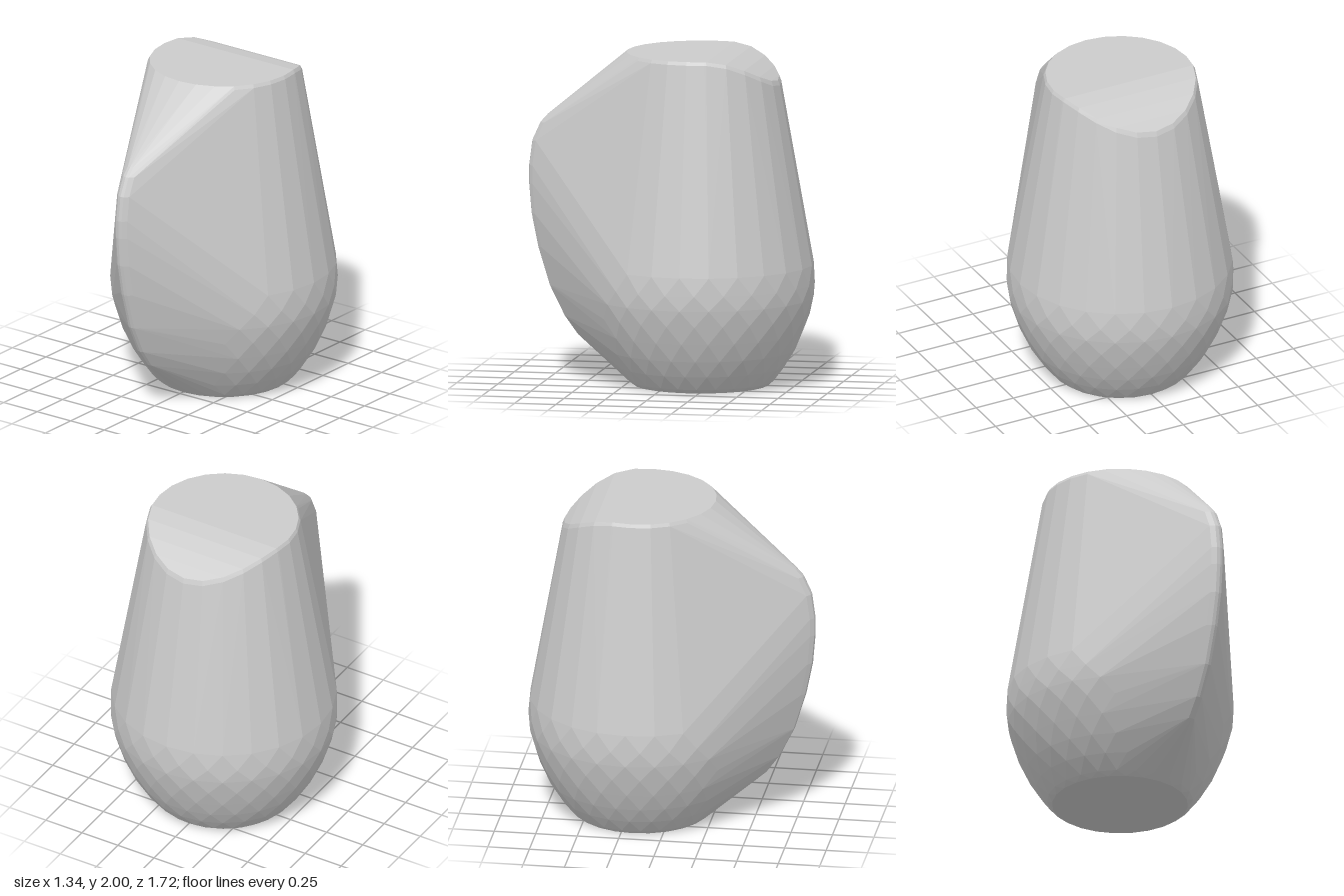
import * as THREE from 'three';
import { ConvexGeometry } from 'three/addons/geometries/ConvexGeometry.js';

const AXIS_Z = -0.185; // centre of the round body
const SEGMENTS = 24;

// Ring of points around the body axis
function ring(points, radius, y, offset = 0) {
  for (let i = 0; i < SEGMENTS; i++) {
    const a = ((i + offset) / SEGMENTS) * Math.PI * 2;
    points.push(new THREE.Vector3(Math.sin(a) * radius, y, AXIS_Z + Math.cos(a) * radius));
  }
}

// Rim that is level in front and curves downwards behind z = -0.29
function rim(points, radius, drop) {
  const add = (x, z) => {
    const t = Math.max(0, (-0.29 - z) / 0.36);
    const k = 1 + 0.05 * t;
    points.push(new THREE.Vector3(x * k, 2 - drop - 0.18 * t * t, AXIS_Z + (z - AXIS_Z) * k));
  };
  for (let i = 0; i < SEGMENTS; i++) {
    const a = (i / SEGMENTS) * Math.PI * 2;
    add(Math.sin(a) * radius, AXIS_Z + Math.cos(a) * radius);
  }
  // Ends of the fold line across the top
  const foldX = Math.sqrt(radius * radius - (0.29 + AXIS_Z) ** 2);
  add(foldX, -0.29);
  add(-foldX, -0.29);
}

export function createModel() {
  const group = new THREE.Group();
  const points = [];

  // Rounded lower bowl: [radius, height], staggered for a faceted surface
  const bowl = [
    [0.405, 0], [0.435, 0.025], [0.5, 0.11], [0.56, 0.21], [0.61, 0.32],
    [0.648, 0.43], [0.672, 0.53], [0.678, 0.62], [0.672, 0.73],
  ];
  bowl.forEach(([r, y], i) => ring(points, r, y, (i % 2) / 2));

  // Bevelled top rim
  rim(points, 0.445, 0);
  rim(points, 0.456, 0.02);

  // Narrow front ridge: [z, y]
  const ridge = [
    [0.745, 1.6], [0.79, 1.55], [0.84, 1.44], [0.86, 1.29], [0.86, 1.18], [0.845, 1.0],
    [0.805, 0.8], [0.735, 0.57], [0.645, 0.39], [0.565, 0.28],
  ];
  for (const [z, y] of ridge) {
    points.push(new THREE.Vector3(0, y, z));
    for (const s of [-1, 1]) {
      points.push(new THREE.Vector3(s * 0.02, y, z - 0.005));
      points.push(new THREE.Vector3(s * 0.045, y, z - 0.028));
    }
  }

  // Taut skin over bowl, rim and ridge
  const body = new THREE.Mesh(
    new ConvexGeometry(points),
    new THREE.MeshStandardMaterial({ color: 0xcccccc, flatShading: true })
  );
  body.name = 'body';
  group.add(body);
  return group;
}
